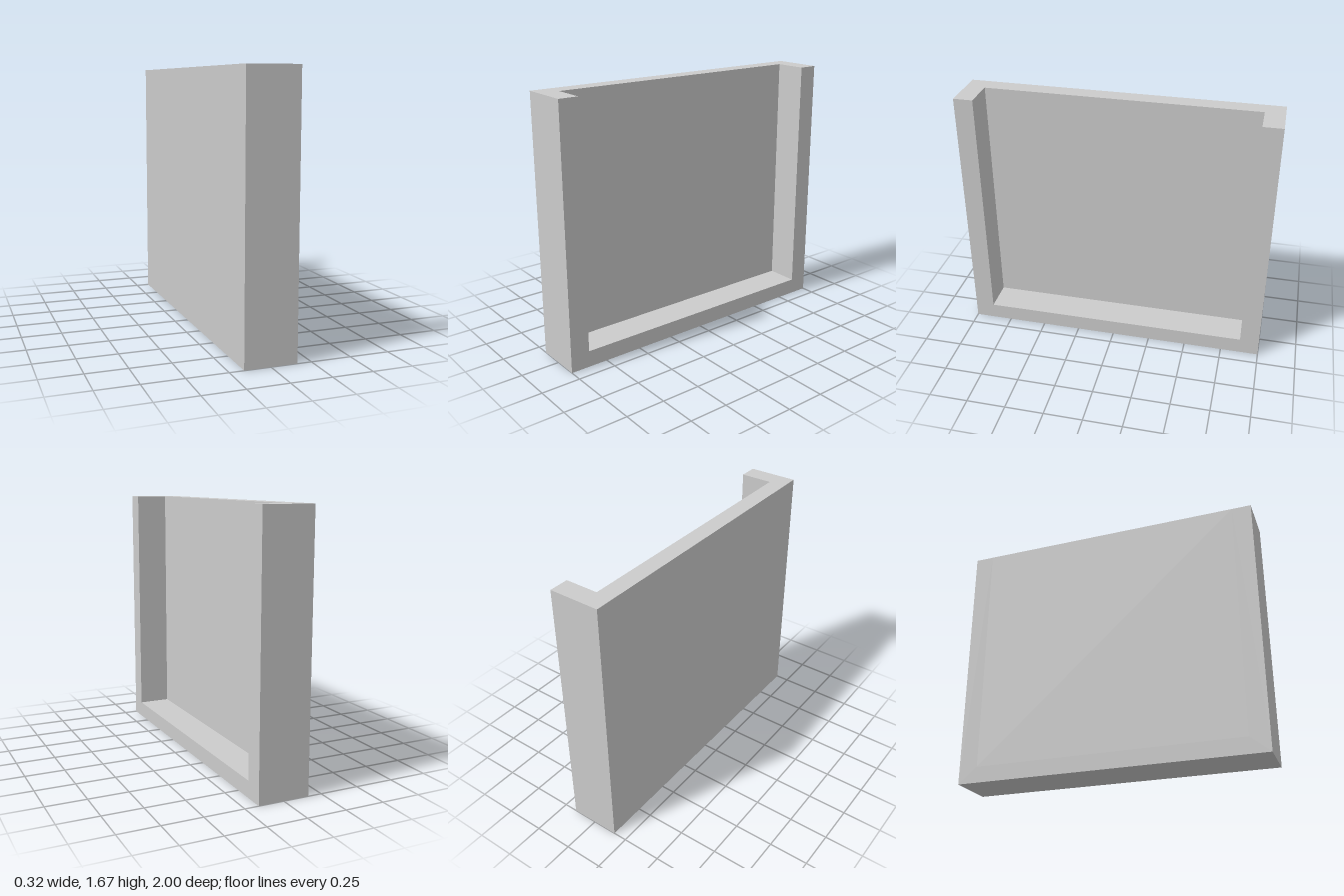
import * as THREE from 'three';

const W = 0.324, H = 1.667, HALF = 1;          // overall thickness, height, half length
const INNER = 0.875, FLOOR = 0.105, PANEL = 0.112; // recess half length, sill height, panel thickness

export function createModel() {
  const group = new THREE.Group();
  group.name = 'openTray';
  const material = new THREE.MeshStandardMaterial({ color: 0xcccccc, flatShading: true });

  // U-shaped frame: two uprights joined by a sill, open at the top
  const outline = new THREE.Shape([
    [-HALF, 0], [HALF, 0], [HALF, H], [INNER, H],
    [INNER, FLOOR], [-INNER, FLOOR], [-INNER, H], [-HALF, H],
  ].map(([x, y]) => new THREE.Vector2(x, y)));
  const frameGeometry = new THREE.ExtrudeGeometry(outline, { depth: W, bevelEnabled: false });
  frameGeometry.rotateY(Math.PI / 2).translate(-W / 2, 0, 0);
  const frame = new THREE.Mesh(frameGeometry, material);
  frame.name = 'frame';

  // Wall filling the frame, flush with its -x side
  const panel = new THREE.Mesh(new THREE.BoxGeometry(PANEL, H - FLOOR, 2 * INNER), material);
  panel.name = 'backPanel';
  panel.position.set(-W / 2 + PANEL / 2, (H + FLOOR) / 2, 0);

  group.add(frame, panel);
  return group;
}
